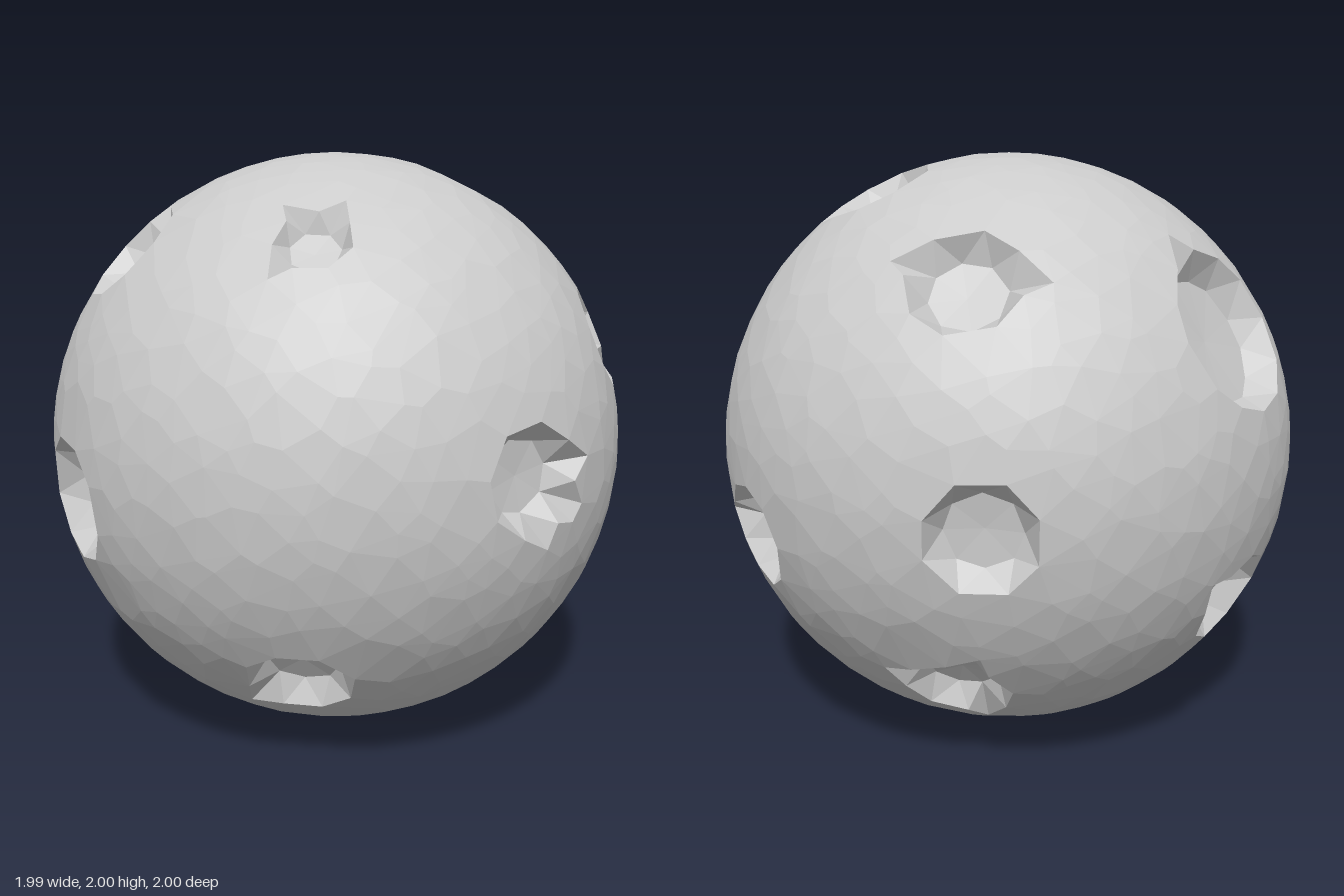
import * as THREE from 'three';
import { ConvexGeometry } from 'three/addons/geometries/ConvexGeometry.js';

// Each crater: direction from the centre, angular radius, sides
const craters = [
  [0.20, 0.04, 0.98, 0.185, 8],
  [0.735, 0.39, 0.55, 0.185, 8],
  [-0.43, -0.64, 0.63, 0.18, 8],
  [0.56, -0.69, 0.455, 0.175, 8],
  [-0.345, 0.75, 0.56, 0.125, 7],
  [0.55, 0.65, -0.51, 0.19, 8],
  [0.42, 0.89, 0.16, 0.185, 8],
  [-0.715, 0.69, -0.11, 0.20, 9],
  [-0.81, 0.41, -0.425, 0.11, 6],
  [-0.29, 0.475, -0.83, 0.285, 12],
  [0.97, -0.215, 0.11, 0.185, 9],
  [0.66, -0.07, -0.745, 0.185, 8],
  [0.56, -0.675, -0.475, 0.18, 8],
  [-0.30, -0.44, -0.85, 0.185, 8],
  [-0.19, -0.96, -0.21, 0.21, 9],
  [-0.99, -0.12, 0.04, 0.215, 9],
].map(([x, y, z, radius, sides]) => {
  const axis = new THREE.Vector3(x, y, z).normalize();
  const u = new THREE.Vector3(0.31, 0.83, 0.47).cross(axis).normalize();
  const large = radius > 0.25;
  return {
    axis, u, v: axis.clone().cross(u), radius, sides,
    floor: large ? 0.76 : 0.66,
    depth: large ? 0.085 : radius * 0.42,
  };
});

// Small seeded generator, -1 to 1
let seed = 7;
function jitter() {
  seed = (seed * 16807) % 2147483647;
  return (seed / 2147483647) * 2 - 1;
}

// Point on the unit sphere at a given angle from a crater's axis
function around(c, angle, turn) {
  return c.axis.clone().multiplyScalar(Math.cos(angle))
    .addScaledVector(c.u, Math.sin(angle) * Math.cos(turn))
    .addScaledVector(c.v, Math.sin(angle) * Math.sin(turn));
}

function spherePoints() {
  const points = [];
  // Irregular spread of points, keeping clear of the craters
  const count = 1150;
  for (let i = 0; i < count; i++) {
    const y = 1 - (2 * i + 1) / count;
    const turn = i * Math.PI * (3 - Math.sqrt(5));
    const s = Math.sqrt(1 - y * y);
    const p = new THREE.Vector3(
      s * Math.cos(turn) + jitter() * 0.035,
      y + jitter() * 0.035,
      s * Math.sin(turn) + jitter() * 0.035,
    ).normalize();
    if (craters.every((c) => p.angleTo(c.axis) > c.radius + 0.065)) points.push(p);
  }
  // Rim ring, floor ring and floor centre of every crater
  for (const c of craters) {
    const step = (Math.PI * 2) / c.sides;
    const start = jitter() * Math.PI;
    for (let i = 0; i < c.sides; i++) {
      const turn = start + i * step;
      points.push(around(c, c.radius * (1 + jitter() * 0.03), turn + jitter() * 0.06));
      points.push(around(c, c.radius * c.floor * (1 + jitter() * 0.03), turn + step / 2 + jitter() * 0.06));
    }
    points.push(around(c, 0.004, start));
  }
  return points;
}

export function createModel() {
  const group = new THREE.Group();
  group.name = 'crateredMoon';

  // The hull triangulates the sphere; crater floors are then pressed inwards
  const geometry = new ConvexGeometry(spherePoints());
  const position = geometry.attributes.position;
  const p = new THREE.Vector3();
  for (let i = 0; i < position.count; i++) {
    p.fromBufferAttribute(position, i);
    const c = craters.find((k) => p.angleTo(k.axis) < k.radius * 0.88);
    if (!c) continue;
    const middle = p.angleTo(c.axis) < 0.02;
    const height = Math.cos(c.radius) - c.depth * (middle ? 1.12 : 1);
    p.addScaledVector(c.axis, height - p.dot(c.axis));
    position.setXYZ(i, p.x, p.y, p.z);
  }
  geometry.computeVertexNormals();

  const moon = new THREE.Mesh(
    geometry,
    new THREE.MeshStandardMaterial({ color: 0xcccccc, flatShading: true }),
  );
  moon.name = 'moonSurface';
  moon.position.y = 1;
  group.add(moon);
  return group;
}
